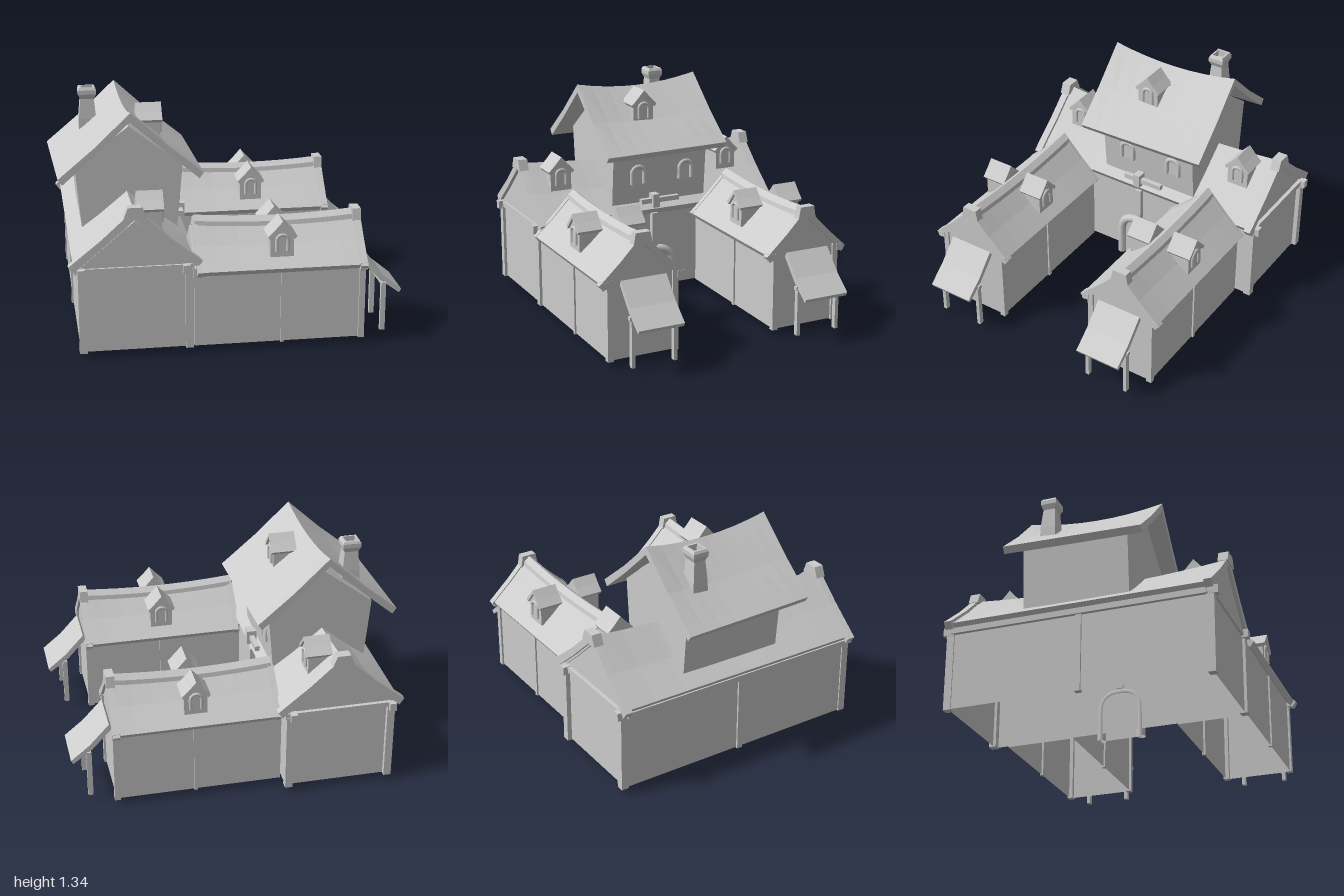
import * as THREE from 'three';

const mat = new THREE.MeshStandardMaterial({ color: 0xcccccc, flatShading: true, side: THREE.DoubleSide });
const smooth = new THREE.MeshStandardMaterial({ color: 0xcccccc, side: THREE.DoubleSide });

function add(parent, name, geo, x = 0, y = 0, z = 0, material = mat) {
  const m = new THREE.Mesh(geo, material);
  m.name = name;
  m.position.set(x, y, z);
  parent.add(m);
  return m;
}
const box = (p, name, w, h, d, x, y, z) => add(p, name, new THREE.BoxGeometry(w, h, d), x, y, z);

// Sweep a counter-clockwise (x, y) outline along z; bend(x, y, t) adds to y, openFirst leaves out the first edge
function loft(outline, z0, z1, n = 1, bend = () => 0, openFirst = false) {
  const pos = [];
  const at = (i, k) => {
    const [x, y] = outline[i % outline.length], t = k / n;
    return [x, y + bend(x, y, t), z0 + (z1 - z0) * t];
  };
  for (let k = 0; k < n; k++) {
    for (let i = openFirst ? 1 : 0; i < outline.length; i++) {
      const a = at(i, k), b = at(i + 1, k), c = at(i + 1, k + 1), d = at(i, k + 1);
      pos.push(...a, ...b, ...c, ...a, ...c, ...d);
    }
  }
  const pts = outline.map(([x, y]) => new THREE.Vector2(x, y));
  for (const [a, b, c] of THREE.ShapeUtils.triangulateShape(pts, [])) {
    pos.push(...at(a, n), ...at(b, n), ...at(c, n), ...at(c, 0), ...at(b, 0), ...at(a, 0));
  }
  const g = new THREE.BufferGeometry();
  g.setAttribute('position', new THREE.Float32BufferAttribute(pos, 3));
  g.computeVertexNormals();
  return g;
}

// Open-bottomed house walls with a gable at both ends
const walls = (bottomHalf, topHalf, y0, eave, apex, z0, z1) =>
  loft([[-bottomHalf, y0], [bottomHalf, y0], [topHalf, eave], [0, apex], [-topHalf, eave]], z0, z1, 1, undefined, true);

// Pitched roof slab, slightly concave, whose ridge sinks by sag in the middle
function roof(half, eave, ridge, thick, z0, z1, sag = 0, n = 1) {
  const mid = eave + (ridge - eave) * 0.47;
  const o = [[half, eave], [half * 0.5, mid], [0, ridge], [-half * 0.5, mid], [-half, eave],
    [-half + thick * 0.5, eave - thick * 0.7], [-half * 0.5, mid - thick], [0, ridge - thick],
    [half * 0.5, mid - thick], [half - thick * 0.5, eave - thick * 0.7]];
  const bend = (x, y, t) => -sag * 4 * t * (1 - t) * Math.max(0, 1 - Math.abs(x) / half);
  return loft(o, z0, z1, n, bend);
}

// Round-headed frame and its filling, base at y = 0, facing +z; power below 1 makes the head squarer
function arch(parent, name, r, leg, rise, tube, power = 1) {
  const g = new THREE.Group();
  g.name = name;
  const pts = [new THREE.Vector3(-r, 0, 0), new THREE.Vector3(-r, leg * 0.5, 0)];
  for (let i = 0; i <= 10; i++) {
    const a = Math.PI * (1 - i / 10), c = Math.cos(a);
    pts.push(new THREE.Vector3(r * Math.sign(c) * Math.abs(c) ** power, leg + rise * Math.abs(Math.sin(a)) ** power, 0));
  }
  pts.push(new THREE.Vector3(r, leg * 0.5, 0), new THREE.Vector3(r, 0, 0));
  add(g, 'archFrame', new THREE.TubeGeometry(new THREE.CatmullRomCurve3(pts), 32, tube, 8), 0, 0, 0, smooth);
  add(g, 'archFilling', new THREE.ShapeGeometry(new THREE.Shape(pts.map(p => new THREE.Vector2(p.x, p.y)))));
  parent.add(g);
  return g;
}

// Gabled dormer, front face at z = 0 looking along +z
function dormer(parent, x, y, z, turn) {
  const g = new THREE.Group();
  g.name = 'dormer';
  add(g, 'dormerWalls', walls(0.068, 0.068, -0.025, 0.11, 0.165, -0.14, 0));
  add(g, 'dormerRoof', roof(0.084, 0.1, 0.19, 0.025, -0.14, 0.014));
  arch(g, 'dormerWindow', 0.032, 0.065, 0.032, 0.01).position.set(0, 0.01, 0.004);
  g.position.set(x, y, z);
  g.rotation.y = turn;
  parent.add(g);
}

const post = (p, x, z, w = 0.04) => box(p, 'post', w, 0.48, w, x, 0.275, z);

// Long side wing, built along z and turned so its free end points to +x
function wing(centreZ) {
  const g = new THREE.Group();
  g.name = 'wing';
  add(g, 'wingWalls', walls(0.208, 0.208, 0.04, 0.51, 0.7, -0.23, 0.75));
  add(g, 'wingRoof', roof(0.255, 0.5, 0.75, 0.04, -0.2, 0.75, 0.025, 8));
  add(g, 'ridgeCap', loft([[-0.045, 0.685], [0.045, 0.685], [0.035, 0.735], [0, 0.762], [-0.035, 0.735]],
    -0.205, 0.74, 8, (x, y, t) => -0.022 * 4 * t * (1 - t)));
  add(g, 'bargeBoard', roof(0.268, 0.495, 0.76, 0.05, 0.725, 0.765));
  add(g, 'innerBargeBoard', roof(0.258, 0.5, 0.755, 0.05, -0.215, -0.185));
  add(g, 'apexBlock', loft([[-0.058, 0.695], [0.058, 0.695], [0.045, 0.768], [-0.045, 0.768]], 0.715, 0.765));
  for (const s of [-1, 1]) {
    post(g, s * 0.202, 0.745, 0.035);
    post(g, s * 0.207, 0.28, 0.022);
    box(g, 'eaveBracket', 0.045, 0.04, 0.045, s * 0.232, 0.49, 0.745);
    dormer(g, s * 0.2, 0.578, 0.275, s * Math.PI / 2);
  }
  // Porch at the gable end
  const porch = new THREE.Group();
  porch.name = 'porch';
  add(porch, 'porchRoof', loft([[0.755, 0.48], [0.87, 0.355], [0.985, 0.27], [0.998, 0.292], [0.885, 0.385], [0.77, 0.51]],
    -0.14, 0.14)).rotation.y = -Math.PI / 2;
  for (const s of [-1, 1]) box(porch, 'porchPost', 0.022, 0.29, 0.03, s * 0.13, 0.185, 0.892);
  box(porch, 'porchBeam', 0.3, 0.022, 0.025, 0, 0.33, 0.892);
  g.add(porch);
  g.rotation.y = Math.PI / 2;
  g.position.z = centreZ;
  return g;
}

export function createModel() {
  const model = new THREE.Group();
  model.name = 'courtyardHouse';

  // Rear building running across
  const hall = new THREE.Group();
  hall.name = 'hall';
  hall.position.x = -0.56;
  add(hall, 'hallWalls', walls(0.318, 0.318, 0.04, 0.54, 0.81, -0.78, 0.77));
  add(hall, 'hallRoof', roof(0.35, 0.56, 0.865, 0.05, -0.79, 0.765, 0.04, 8));
  for (const s of [-1, 1]) {
    const z = s * 0.775 - 0.01;
    add(hall, 'bargeBoard', roof(0.378, 0.56, 0.885, 0.055, z - 0.022, z + 0.022));
    add(hall, 'apexBlock', loft([[-0.065, 0.83], [0.065, 0.83], [0.04, 0.895], [-0.04, 0.895]], z - 0.03, z + 0.03));
    box(hall, 'tieBeam', 0.66, 0.035, 0.035, 0, 0.525, z);
    post(hall, -0.303, z, 0.045);
    post(hall, 0.303, z, 0.045);
    box(hall, 'beamEnd', 0.04, 0.05, 0.06, -0.308, 0.52, z + s * 0.015);
    box(hall, 'beamEnd', 0.04, 0.05, 0.06, 0.285, 0.52, z + s * 0.015);
  }
  box(hall, 'eaveBeam', 0.025, 0.035, 1.52, -0.328, 0.515, -0.01);
  post(hall, -0.312, 0, 0.035);
  dormer(hall, 0.165, 0.73, 0.565, Math.PI / 2);
  dormer(hall, 0.165, 0.73, -0.59, Math.PI / 2);
  model.add(hall);

  // Upper storey with a slightly skewed roof
  const tower = new THREE.Group();
  tower.name = 'upperStorey';
  tower.position.x = -0.555;
  add(tower, 'upperWalls', walls(0.272, 0.315, 0.5, 0.98, 1.22, -0.36, 0.28)).position.x = 0.01;
  add(tower, 'upperRoof', roof(0.425, 0.95, 1.325, 0.05, -0.415, 0.41, 0.045, 8), 0, 0, -0.028).rotation.y = 0.035;
  dormer(tower, 0.215, 1.105, 0.025, Math.PI / 2);
  for (const z of [0.11, -0.22]) {
    const w = arch(tower, 'upperWindow', 0.042, 0.07, 0.042, 0.014);
    w.position.set(0.31, 0.725, z);
    w.rotation.y = Math.PI / 2;
  }
  model.add(tower);

  // Chimney with flared cap
  const chimney = add(model, 'chimney', new THREE.LatheGeometry([[0.078, 1.05], [0.074, 1.15], [0.058, 1.27],
    [0.078, 1.3], [0.078, 1.325], [0.066, 1.34], [0.05, 1.34], [0.05, 1.3], [0, 1.3]]
    .map(p => new THREE.Vector2(...p)), 4, Math.PI / 4), -0.75, 0, -0.235);
  chimney.scale.z = 0.88;

  // Arched entrance and timbers above it
  const door = arch(model, 'entrance', 0.122, 0.16, 0.132, 0.027, 0.75);
  door.position.set(-0.22, 0, 0.01);
  door.rotation.y = Math.PI / 2;
  box(model, 'entrancePost', 0.04, 0.22, 0.04, -0.23, 0.42, 0.01);
  box(model, 'crossBeam', 0.03, 0.03, 0.26, -0.22, 0.615, -0.025);
  box(model, 'beamHead', 0.06, 0.085, 0.045, -0.22, 0.615, 0.01);

  model.add(wing(0.565), wing(-0.495));
  return model;
}
